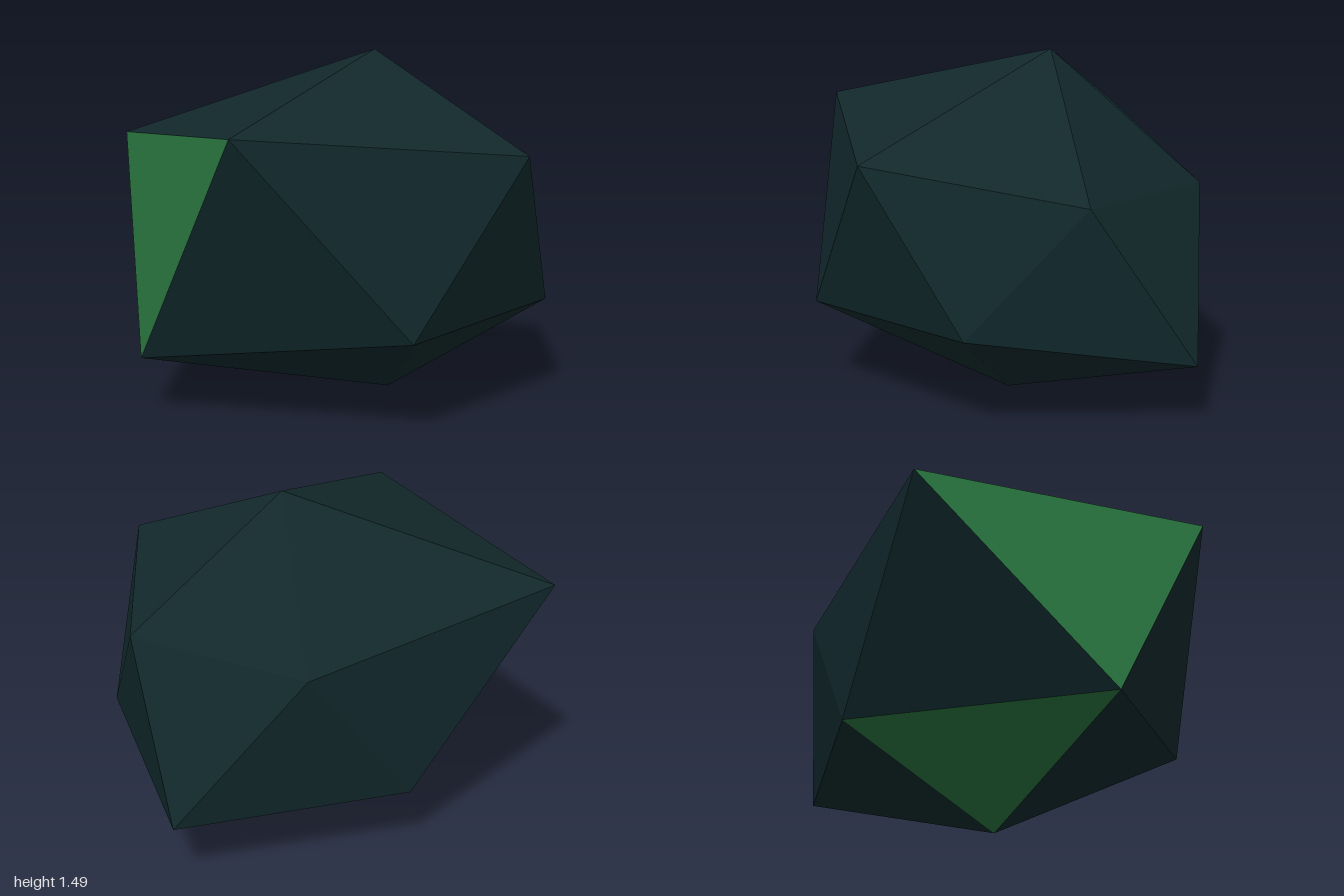
import * as THREE from 'three';

// Flat-shaded mesh from a list of corner triples
function facetMesh(name, triangles, material) {
  const geometry = new THREE.BufferGeometry();
  geometry.setAttribute('position', new THREE.Float32BufferAttribute(triangles.flat(2), 3));
  geometry.computeVertexNormals();
  const mesh = new THREE.Mesh(geometry, material);
  mesh.name = name;
  return mesh;
}

export function createModel() {
  const stone = new THREE.MeshStandardMaterial({ color: 0x11282b, flatShading: true });
  stone.name = 'dark teal stone';
  const moss = new THREE.MeshStandardMaterial({ color: 0x28753e, flatShading: true });
  moss.name = 'green';

  // Irregular twenty-sided rock: two poles and two staggered rings of five
  const apex = [0.04, 1.49, -0.18];
  const base = [0.20, 0, -0.08];
  const upper = [[-0.97, 1.10, 0.38], [0.26, 1.20, 1.0], [0.965, 1.095, -0.01], [0.415, 0.95, -0.755], [-0.40, 0.915, -0.65]];
  const lower = [[-0.34, 0.235, 0.91], [0.785, 0.39, 0.52], [0.795, 0.42, -0.43], [0.03, 0.27, -1.0], [-0.645, 0.29, -0.235]];

  const dark = [], green = [];
  for (let i = 0; i < 5; i++) {
    const j = (i + 1) % 5;
    dark.push([apex, upper[i], upper[j]]);
    dark.push([lower[i], lower[j], upper[j]]);
    // One front facet and one underside facet are green
    (i === 0 ? green : dark).push([upper[i], lower[i], upper[j]]);
    (i === 4 ? green : dark).push([lower[i], base, lower[j]]);
  }

  const model = new THREE.Group();
  model.name = 'rock';
  model.add(facetMesh('rockFacets', dark, stone), facetMesh('greenFacets', green, moss));
  return model;
}
